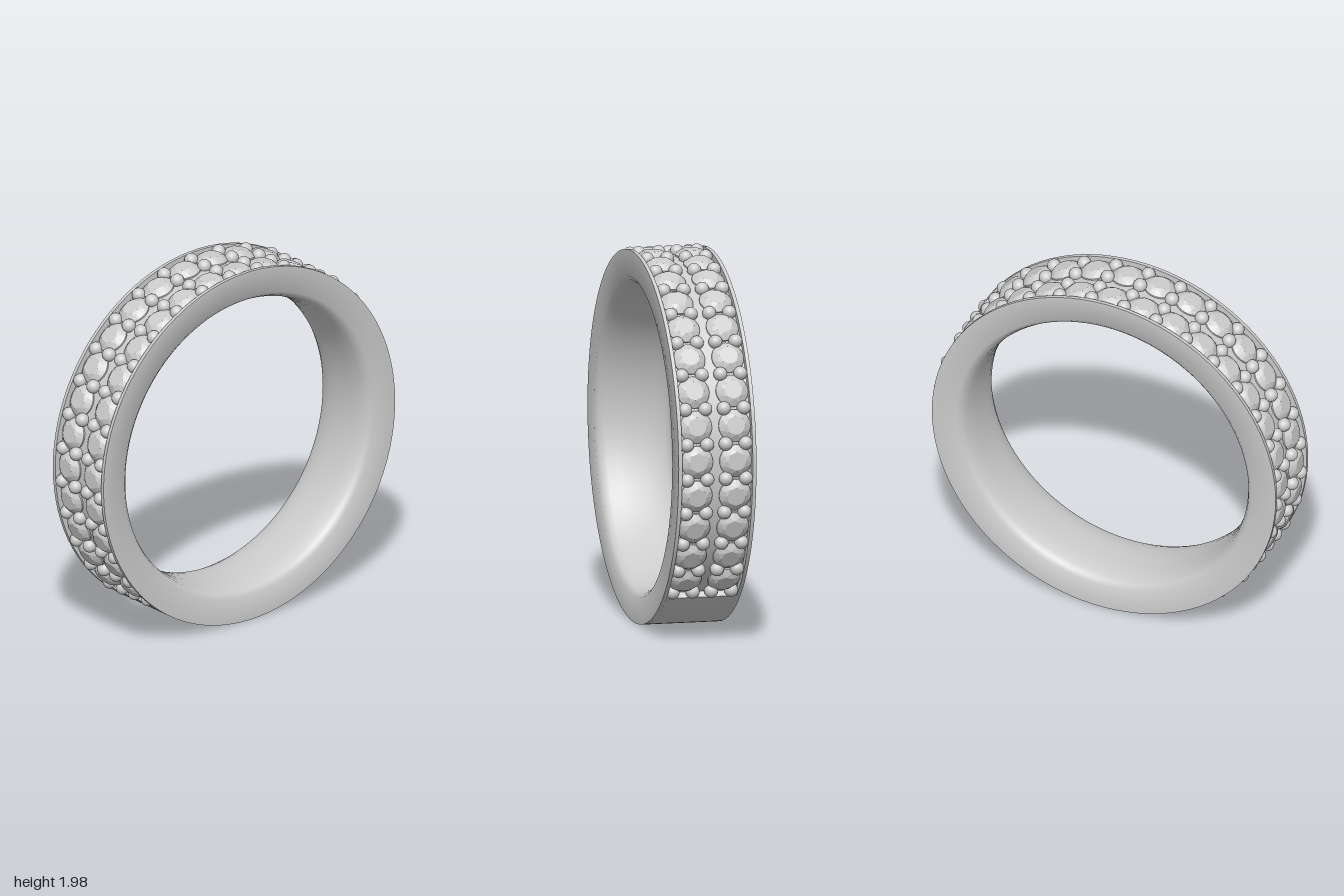
import * as THREE from 'three';
import { toCreasedNormals } from 'three/addons/utils/BufferGeometryUtils.js';
import { ConvexGeometry } from 'three/addons/geometries/ConvexGeometry.js';

const CENTRE_Y = 0.985, OUTER = 0.985, FLOOR = 0.95;
const HALF_WIDTH = 0.21, CHANNEL = 0.19;
const STEP = THREE.MathUtils.degToRad(11.05), STEPS = 12;
const CHANNEL_END = THREE.MathUtils.degToRad(139.6);

// Band: channelled outside, rounded comfort-fit inside
function bandGeometry() {
  const inside = [[0.845, 0.21], [0.822, 0.19], [0.807, 0.16], [0.795, 0.1], [0.79, 0.04]];
  const profile = [
    [OUTER, -HALF_WIDTH], [OUTER, -CHANNEL], [FLOOR, -CHANNEL],
    [FLOOR, CHANNEL], [OUTER, CHANNEL], [OUTER, HALF_WIDTH],
    ...inside,
    ...inside.map(([r, z]) => [r, -z]).reverse(),
    [OUTER, -HALF_WIDTH],
  ].map(([r, z]) => new THREE.Vector2(r, z));
  const g = new THREE.LatheGeometry(profile, 96).rotateX(Math.PI / 2);
  return toCreasedNormals(g, 0.85);
}

// Plain underside that fills the channel below the stones
function shankGeometry() {
  const spread = Math.PI - CHANNEL_END;
  const a0 = -Math.PI / 2 - spread, a1 = -Math.PI / 2 + spread;
  const s = new THREE.Shape();
  s.absarc(0, 0, OUTER, a0, a1, false);
  s.absarc(0, 0, FLOOR - 0.02, a1, a0, true);
  s.closePath();
  const g = new THREE.ExtrudeGeometry(s, { depth: CHANNEL * 2, bevelEnabled: false, curveSegments: 24 });
  return toCreasedNormals(g.translate(0, 0, -CHANNEL), 0.6);
}

// Round cut stone: girdle, crown facets, flat table and pointed base
function gemGeometry() {
  const points = [new THREE.Vector3(0, -0.07, 0)];
  const ring = (n, r, h, turn) => {
    for (let i = 0; i < n; i++) {
      const a = ((i + turn) / n) * Math.PI * 2;
      points.push(new THREE.Vector3(Math.cos(a) * r, h, Math.sin(a) * r));
    }
  };
  ring(24, 0.086, -0.006, 0);
  ring(24, 0.086, 0.002, 0);
  ring(8, 0.069, 0.018, 0.5);
  ring(8, 0.05, 0.031, 0);
  return new ConvexGeometry(points);
}

export function createModel() {
  const model = new THREE.Group();
  model.name = 'ring';
  const metal = new THREE.MeshStandardMaterial({ color: 0xcccccc });
  const stone = new THREE.MeshStandardMaterial({ color: 0xcccccc, flatShading: true });

  const hoop = new THREE.Group();
  hoop.name = 'hoop';
  hoop.position.y = CENTRE_Y;
  model.add(hoop);

  const add = (parent, name, geometry, material) => {
    const mesh = new THREE.Mesh(geometry, material);
    mesh.name = name;
    parent.add(mesh);
    return mesh;
  };
  // Places a part on the hoop at an angle measured from the top
  const place = (mesh, angle, radius, z) => {
    mesh.position.set(Math.sin(angle) * radius, Math.cos(angle) * radius, z);
    mesh.rotation.z = -angle;
  };

  add(hoop, 'band', bandGeometry(), metal);
  add(hoop, 'plainShank', shankGeometry(), metal);

  const gem = gemGeometry();
  const bead = new THREE.SphereGeometry(0.037, 16, 12);
  for (const side of [-1, 1]) {
    const row = new THREE.Group();
    row.name = side > 0 ? 'frontStoneRow' : 'backStoneRow';
    hoop.add(row);
    // Stones along the row
    for (let i = -STEPS; i <= STEPS; i++) {
      place(add(row, 'stone', gem, stone), i * STEP, 0.956, side * 0.104);
    }
    // Pairs of holding beads between the stones and at both ends
    for (let i = -STEPS - 0.5; i <= STEPS + 0.5; i++) {
      for (const z of [0.05, 0.158]) {
        place(add(row, 'bead', bead, metal), i * STEP, 0.964, side * z);
      }
    }
  }
  return model;
}
